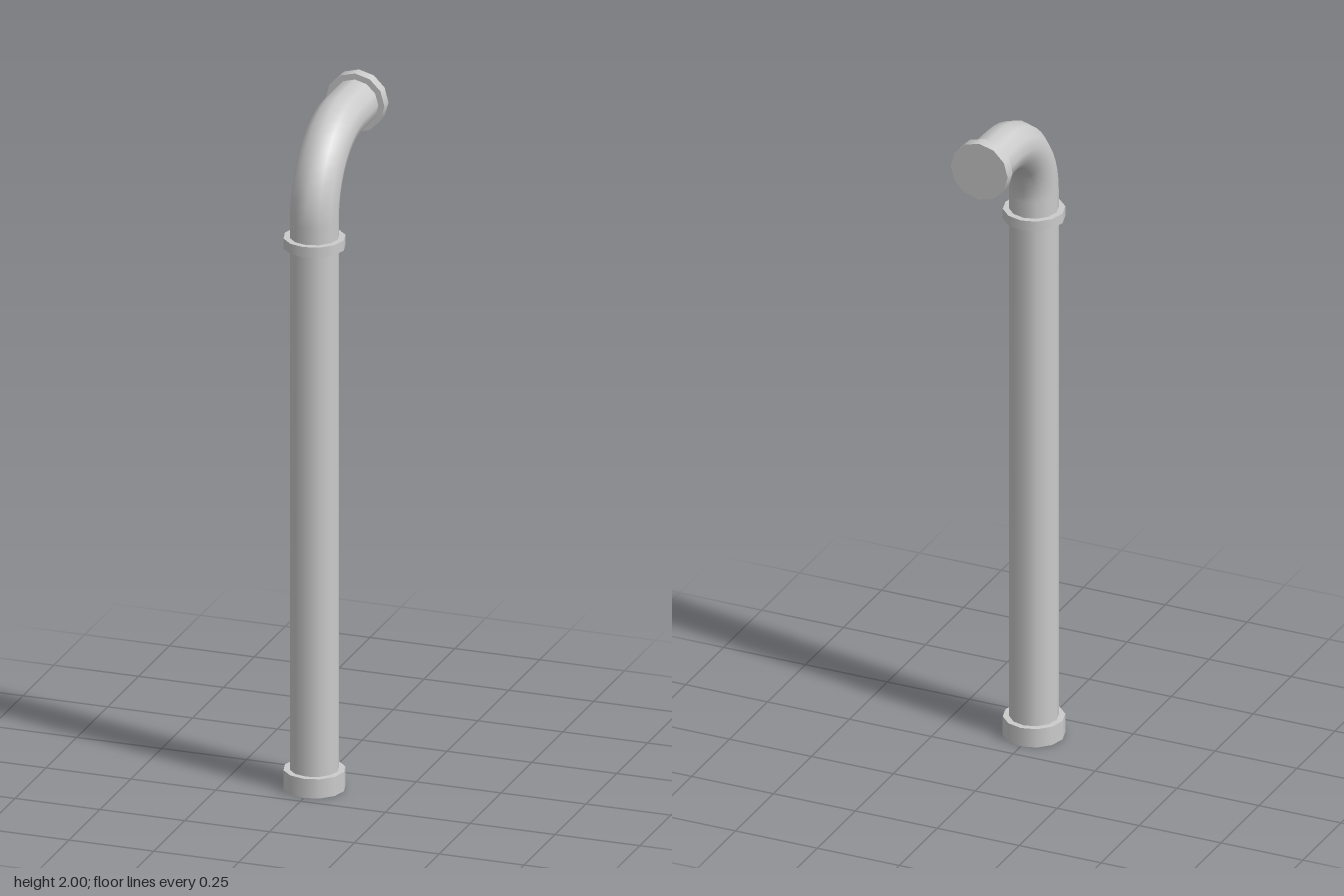
import * as THREE from 'three';

const SIDES = 12;
const PIPE_R = 0.069;
const FLANGE_R = 0.087;
const AXIS_Z = 0.137; // upright pipe axis
const TOP_Y = 1.913; // outlet axis height
const BEND_R = 0.23;

// Quarter-circle centre line from the upright pipe to the outlet
class ElbowCurve extends THREE.Curve {
  getPoint(t, target = new THREE.Vector3()) {
    const a = t * Math.PI / 2;
    return target.set(
      0,
      TOP_Y - BEND_R + BEND_R * Math.sin(a),
      AXIS_Z - BEND_R + BEND_R * Math.cos(a)
    );
  }
}

export function createModel() {
  const group = new THREE.Group();
  const material = new THREE.MeshStandardMaterial({ color: 0xcccccc });
  const pipeMaterial = new THREE.MeshStandardMaterial({ color: 0xcccccc, side: THREE.DoubleSide });

  function add(name, geometry, mat = material) {
    const mesh = new THREE.Mesh(geometry, mat);
    mesh.name = name;
    group.add(mesh);
  }

  // Cylinder standing on the upright axis between two heights
  function upright(name, radius, y0, y1, open = false) {
    const g = new THREE.CylinderGeometry(radius, radius, y1 - y0, SIDES, 1, open);
    g.translate(0, (y0 + y1) / 2, AXIS_Z);
    add(name, g, open ? pipeMaterial : material);
  }

  // Cylinder lying on the outlet axis between two depths
  function outlet(name, radius, z0, z1, open = false) {
    const g = new THREE.CylinderGeometry(radius, radius, z1 - z0, SIDES, 1, open);
    g.rotateX(Math.PI / 2);
    g.translate(0, TOP_Y, (z0 + z1) / 2);
    add(name, g, open ? pipeMaterial : material);
  }

  // Upright run with base fitting and joint collar
  upright('baseFlange', FLANGE_R, 0, 0.057);
  upright('uprightPipe', PIPE_R, 0.03, TOP_Y - BEND_R, true);
  upright('jointCollar', FLANGE_R, 1.605, 1.635);

  // Elbow and short outlet ending in a closed flange
  add('elbow', new THREE.TubeGeometry(new ElbowCurve(), 12, PIPE_R, SIDES), pipeMaterial);
  outlet('outletPipe', PIPE_R, -0.2, AXIS_Z - BEND_R, true);
  outlet('outletFlange', FLANGE_R, -0.224, -0.191);

  return group;
}
